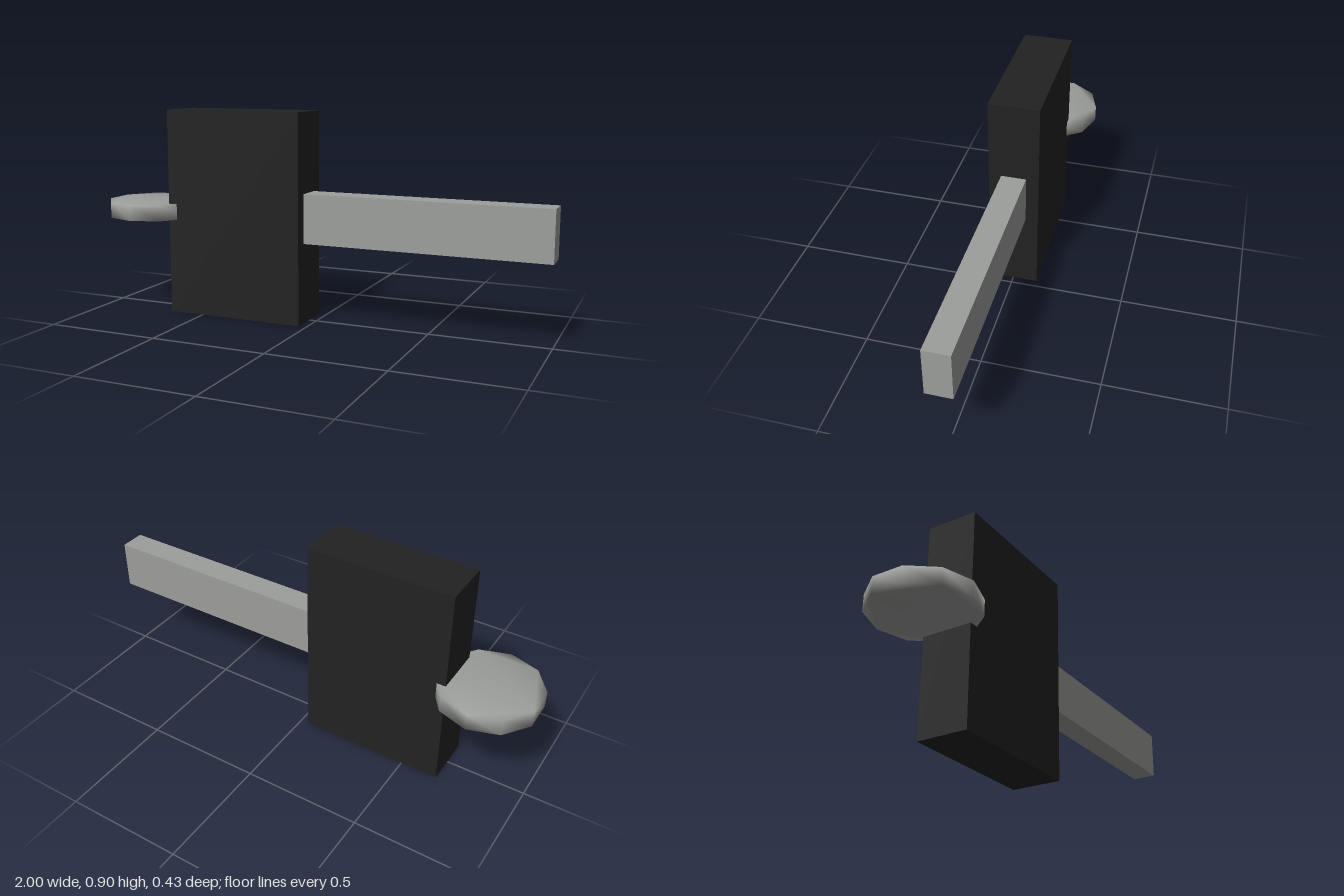
import * as THREE from 'three';
import { mergeVertices } from 'three/addons/utils/BufferGeometryUtils.js';

const black = new THREE.MeshStandardMaterial({ color: 0x222222 });
black.name = 'black';
const grey = new THREE.MeshStandardMaterial({ color: 0x9c9e9b });
grey.name = 'grey';

// Box given by its lower and upper corners
function block(name, min, max, material) {
  const size = max.map((v, i) => v - min[i]);
  const mesh = new THREE.Mesh(new THREE.BoxGeometry(...size), material);
  mesh.position.set(...max.map((v, i) => (v + min[i]) / 2));
  mesh.name = name;
  return mesh;
}

// Ten-sided disc with normals shared between rim and caps
function softDisc(radius, height, sides) {
  const points = Array.from({ length: sides }, (_, i) => {
    const a = Math.PI / 2 + (i / sides) * Math.PI * 2;
    return new THREE.Vector2(Math.cos(a) * radius, Math.sin(a) * radius);
  });
  const raw = new THREE.ExtrudeGeometry(new THREE.Shape(points), { depth: height, bevelEnabled: false });
  raw.translate(0, 0, -height / 2).rotateX(-Math.PI / 2);
  raw.deleteAttribute('uv');
  raw.deleteAttribute('normal');
  raw.clearGroups();
  const geometry = mergeVertices(raw, 1e-4);
  geometry.computeVertexNormals();
  return geometry;
}

export function createModel() {
  const model = new THREE.Group();
  model.name = 'model';

  // Upright slab and the bar standing out from its side
  model.add(block('slab', [-0.66, 0, -0.108], [-0.035, 0.898, 0.108], black));
  model.add(block('bar', [-0.035, 0.344, -0.054], [1, 0.556, 0.054], grey));

  // Flat disc let into the opposite side
  const disc = new THREE.Mesh(softDisc(0.215, 0.07, 10), grey);
  disc.position.set(-0.796, 0.451, 0);
  disc.name = 'disc';
  model.add(disc);

  return model;
}
